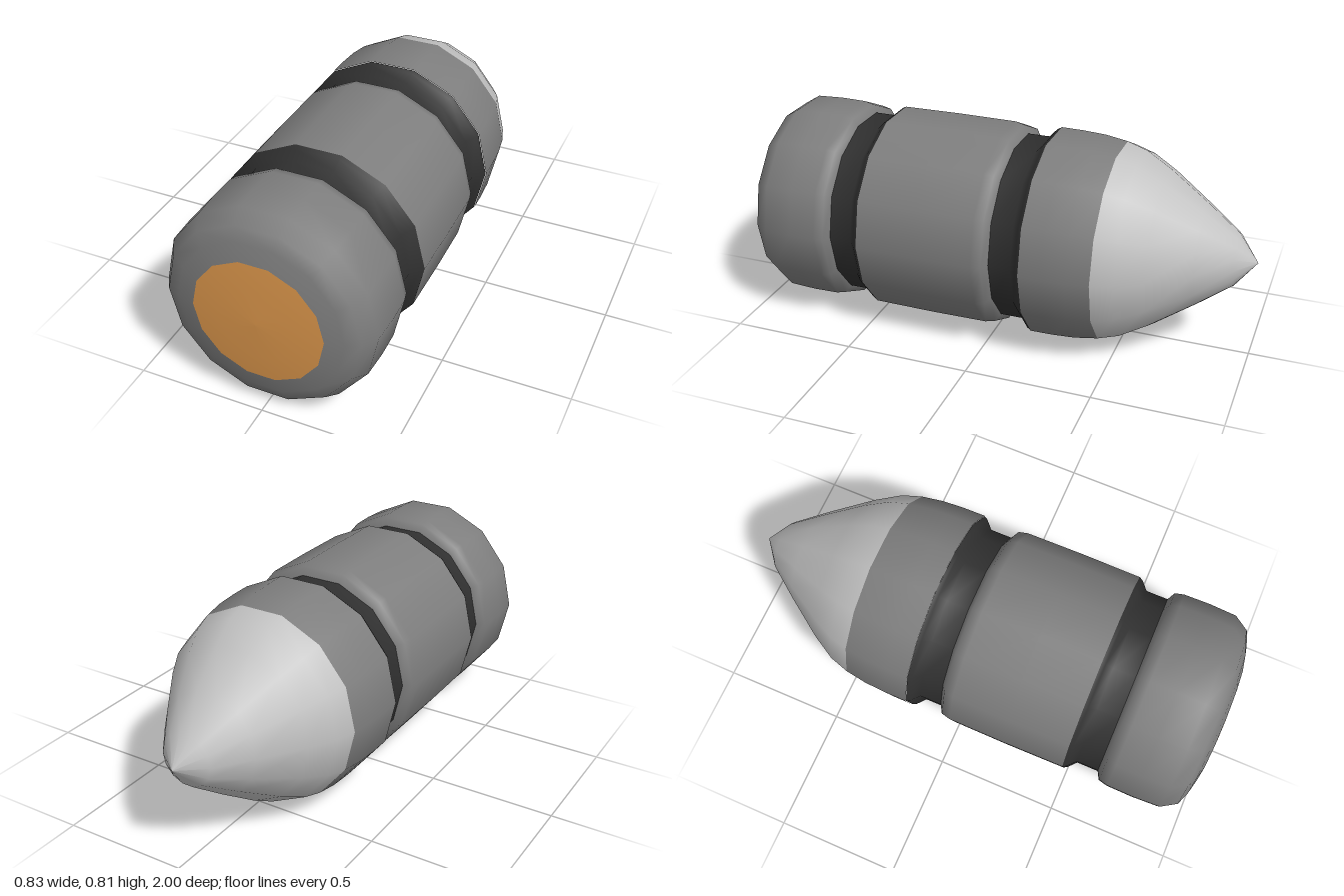
import * as THREE from 'three';

const SIDES = 14;
const CENTRE_Y = 0.405;

function material(name, color) {
  const m = new THREE.MeshStandardMaterial({ color });
  m.name = name;
  return m;
}

export function createModel() {
  const group = new THREE.Group();
  group.name = 'bullet';

  const steel = material('mid grey', 0x7e7e7e);
  const rubber = material('dark grey', 0x303030);
  const silver = material('light grey', 0xc2c2c2);
  const copper = material('orange', 0xde984c);

  // Each part is a ring profile of [radius, z], turned about the z axis, back to front
  function turned(name, mat, profile) {
    const points = profile.map(([r, z]) => new THREE.Vector2(r, z));
    const geometry = new THREE.LatheGeometry(points, SIDES, Math.PI / 2);
    geometry.rotateX(Math.PI / 2);
    const mesh = new THREE.Mesh(geometry, mat);
    mesh.name = name;
    mesh.position.y = CENTRE_Y;
    group.add(mesh);
  }

  // Pointed tip
  turned('tip', silver, [
    [0, -1], [0.103, -0.92], [0.2, -0.79], [0.312, -0.63], [0.37, -0.53], [0.395, -0.45],
  ]);

  // Shoulder behind the tip
  turned('shoulder', steel, [
    [0.395, -0.45], [0.409, -0.36], [0.414, -0.27], [0.415, -0.18],
  ]);

  // Two identical recessed bands
  for (const [name, z] of [['backGroove', -0.18], ['frontGroove', 0.488]]) {
    turned(name, rubber, [
      [0.413, z], [0.405, z + 0.015], [0.372, z + 0.045], [0.372, z + 0.133],
    ]);
  }

  // Middle casing
  turned('casing', steel, [
    [0.372, -0.047], [0.404, -0.028], [0.413, 0.01], [0.415, 0.24], [0.413, 0.488],
  ]);

  // Rounded base
  turned('base', steel, [
    [0.372, 0.621], [0.404, 0.638], [0.413, 0.675], [0.415, 0.78], [0.41, 0.89],
    [0.372, 0.95], [0.32, 0.971], [0.252, 0.987],
  ]);

  // Slightly domed primer disc
  turned('primer', copper, [[0.252, 0.987], [0.15, 0.996], [0, 1]]);

  return group;
}
